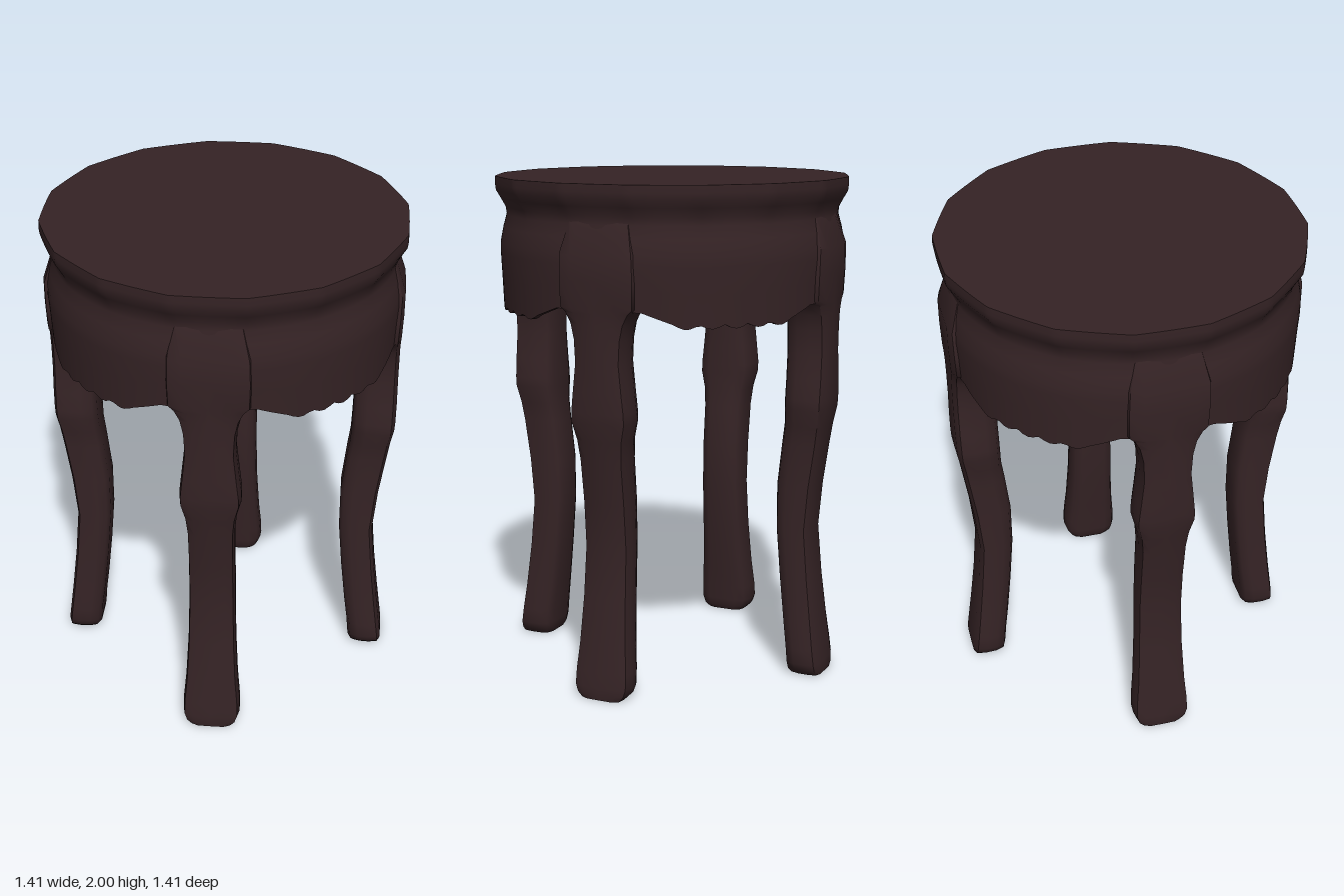
import * as THREE from 'three';
import { toCreasedNormals } from 'three/addons/utils/BufferGeometryUtils.js';

const DEG = Math.PI / 180;

// Height of the apron's lower edge: raised beside each leg, scalloped between legs
function apronEdge(theta) {
  const a = ((theta / DEG) % 90 + 90) % 90;
  const d = Math.min(a, 90 - a);
  if (d < 15) return 1.53;
  if (d < 25) return THREE.MathUtils.lerp(1.53, 1.487, (d - 15) / 10);
  return 1.487 - 0.018 * Math.abs(Math.sin(((d - 25) / 40) * 5 * Math.PI));
}

// Softened sixteen-sided rim with flats facing the legs
function rimFactor(theta, strength) {
  const step = 22.5 * DEG;
  const local = theta - Math.round(theta / step) * step;
  return 1 + strength * (1 / Math.cos(local) - 1);
}

// Seat top and hollow, domed apron as one turned shell
function seatGeometry() {
  const profile = [
    [0, 1.96], [0.35, 1.945], [0.52, 1.915], [0.61, 1.85], [0.645, 1.74], [0.655, 1.6], [0.66, 1.48],
    [0.685, 1.48], [0.69, 1.6], [0.695, 1.7], [0.694, 1.74], [0.682, 1.8],
    [0.668, 1.85], [0.67, 1.88], [0.685, 1.915], [0.7, 1.945], [0.703, 1.97], [0.702, 2], [0, 2],
  ].map(([r, y]) => new THREE.Vector2(r, y));
  const geo = new THREE.LatheGeometry(profile, 192);
  const p = geo.attributes.position;
  for (let i = 0; i < p.count; i++) {
    const x = p.getX(i), y = p.getY(i), z = p.getZ(i);
    const theta = Math.atan2(x, z);
    if (y < 1.7) {
      const t = (1.7 - y) / 0.22;
      p.setY(i, 1.7 - t * (1.7 - apronEdge(theta)));
    } else {
      const f = rimFactor(theta, 0.75 * THREE.MathUtils.smoothstep(y, 1.84, 1.95));
      p.setX(i, x * f);
      p.setZ(i, z * f);
    }
  }
  return toCreasedNormals(geo, 60 * DEG);
}

// Curved leg lofted through cross-sections: [y, inner z, outer z, half width]
function legGeometry() {
  const rings = [
    [0, 0.62, 0.62, 0], [0, 0.558, 0.688, 0.085], [0.02, 0.548, 0.69, 0.105],
    [0.05, 0.545, 0.688, 0.116], [0.11, 0.54, 0.68, 0.115], [0.22, 0.525, 0.666, 0.105],
    [0.4, 0.505, 0.645, 0.096], [0.6, 0.488, 0.628, 0.092], [0.78, 0.488, 0.645, 0.091],
    [0.95, 0.507, 0.67, 0.092], [1.03, 0.518, 0.682, 0.1], [1.1, 0.521, 0.695, 0.118],
    [1.14, 0.522, 0.697, 0.118], [1.22, 0.524, 0.698, 0.109], [1.33, 0.525, 0.697, 0.097],
    [1.42, 0.525, 0.697, 0.102], [1.48, 0.525, 0.697, 0.116], [1.52, 0.526, 0.698, 0.138],
    [1.54, 0.53, 0.699, 0.16], [1.64, 0.54, 0.703, 0.163], [1.74, 0.56, 0.703, 0.16],
    [1.86, 0.58, 0.664, 0.13], [1.86, 0.62, 0.62, 0],
  ];
  // Half section as [across, outward], mirrored into a closed loop
  const half = [[0, 1], [0.62, 0.99], [0.93, 0.82], [1, 0.25], [0.98, -0.35], [0.86, -0.82], [0.55, -1]];
  const loop = [...half, ...half.slice(1).reverse().map(([a, b]) => [-a, b])];
  const n = loop.length, pos = [], index = [];
  rings.forEach(([y, inner, outer, w], j) => {
    const mid = (inner + outer) / 2, depth = (outer - inner) / 2;
    loop.forEach(([a, b], i) => {
      pos.push(a * w, y, mid + b * depth);
      if (j < rings.length - 1) {
        const s = j * n + i, e = j * n + ((i + 1) % n);
        index.push(s, e, s + n, e, e + n, s + n);
      }
    });
  });
  const geo = new THREE.BufferGeometry();
  geo.setAttribute('position', new THREE.Float32BufferAttribute(pos, 3));
  geo.setIndex(index);
  return toCreasedNormals(geo, 55 * DEG);
}

export function createModel() {
  const model = new THREE.Group();
  model.name = 'stool';
  const wood = new THREE.MeshStandardMaterial({ color: 0x352325 });
  wood.name = 'darkWood';

  const seat = new THREE.Mesh(seatGeometry(), wood);
  seat.name = 'seatAndApron';
  model.add(seat);

  // Four legs, one on each side
  const leg = legGeometry();
  ['frontLeg', 'leftLeg', 'backLeg', 'rightLeg'].forEach((name, i) => {
    const mesh = new THREE.Mesh(leg, wood);
    mesh.name = name;
    mesh.rotation.y = (i * Math.PI) / 2;
    model.add(mesh);
  });
  return model;
}
